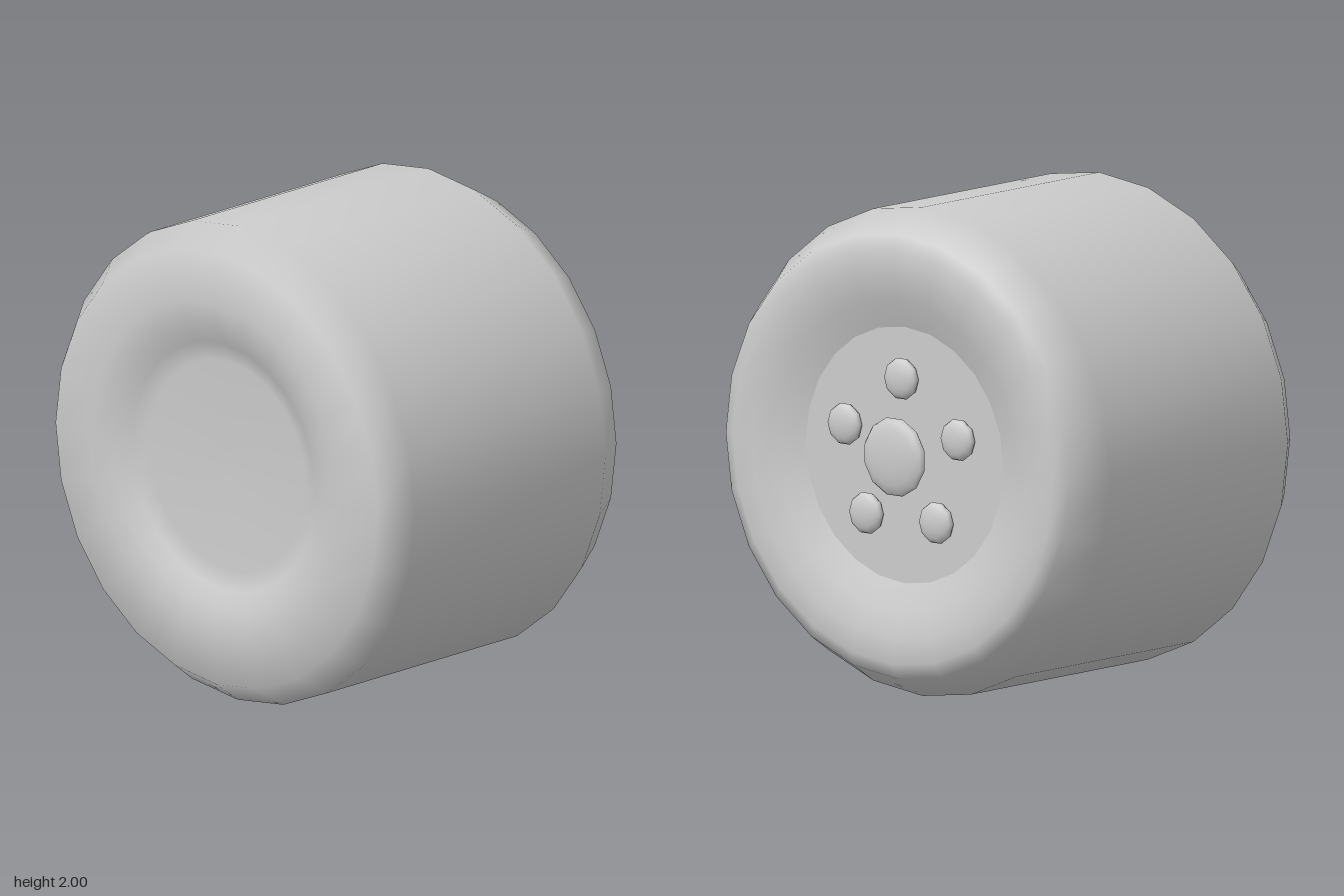
import * as THREE from 'three';

const SIDES = 24;
const material = new THREE.MeshStandardMaterial({ color: 0xcccccc });

function addPart(parent, name, geometry) {
  const mesh = new THREE.Mesh(geometry, material);
  mesh.name = name;
  parent.add(mesh);
  return mesh;
}

// Flattened ball whose poles lie along the axle (x)
function flatBall(radius, halfThickness, segments) {
  const g = new THREE.SphereGeometry(1, segments, 8);
  g.rotateY(Math.PI / segments);
  g.rotateZ(-Math.PI / 2);
  g.scale(halfThickness, radius, radius);
  return g;
}

export function createModel() {
  const wheel = new THREE.Group();
  wheel.name = 'wheel';

  // Tyre: one profile [radius, x] from the inner side to the outer dish
  const profile = [
    [0, -0.64], [0.44, -0.645], [0.52, -0.67], [0.59, -0.71], [0.7, -0.725],
    [0.91, -0.71], [1, -0.59], [1, 0.51], [0.91, 0.665], [0.85, 0.692],
    [0.75, 0.694], [0.64, 0.665], [0.52, 0.618],
  ].map(([r, x]) => new THREE.Vector2(r, x));
  const tyre = new THREE.LatheGeometry(profile, SIDES);
  tyre.rotateZ(-Math.PI / 2);
  addPart(wheel, 'tyre', tyre);

  // Flat rim plate at the bottom of the dish
  const plate = new THREE.CircleGeometry(0.525, SIDES);
  plate.rotateY(Math.PI / 2);
  addPart(wheel, 'rimPlate', plate).position.x = 0.62;

  // Hub cap
  addPart(wheel, 'hubCap', flatBall(0.163, 0.04, 12)).position.x = 0.682;

  // Five wheel nuts, the first one at the top
  const nuts = new THREE.Group();
  nuts.name = 'wheelNuts';
  const nutShape = flatBall(0.087, 0.035, 10);
  for (let i = 0; i < 5; i++) {
    const a = (i / 5) * Math.PI * 2;
    addPart(nuts, 'wheelNut', nutShape)
      .position.set(0.64, Math.cos(a) * 0.315, Math.sin(a) * 0.315);
  }
  wheel.add(nuts);

  wheel.position.y = 1;
  const model = new THREE.Group();
  model.add(wheel);
  return model;
}
